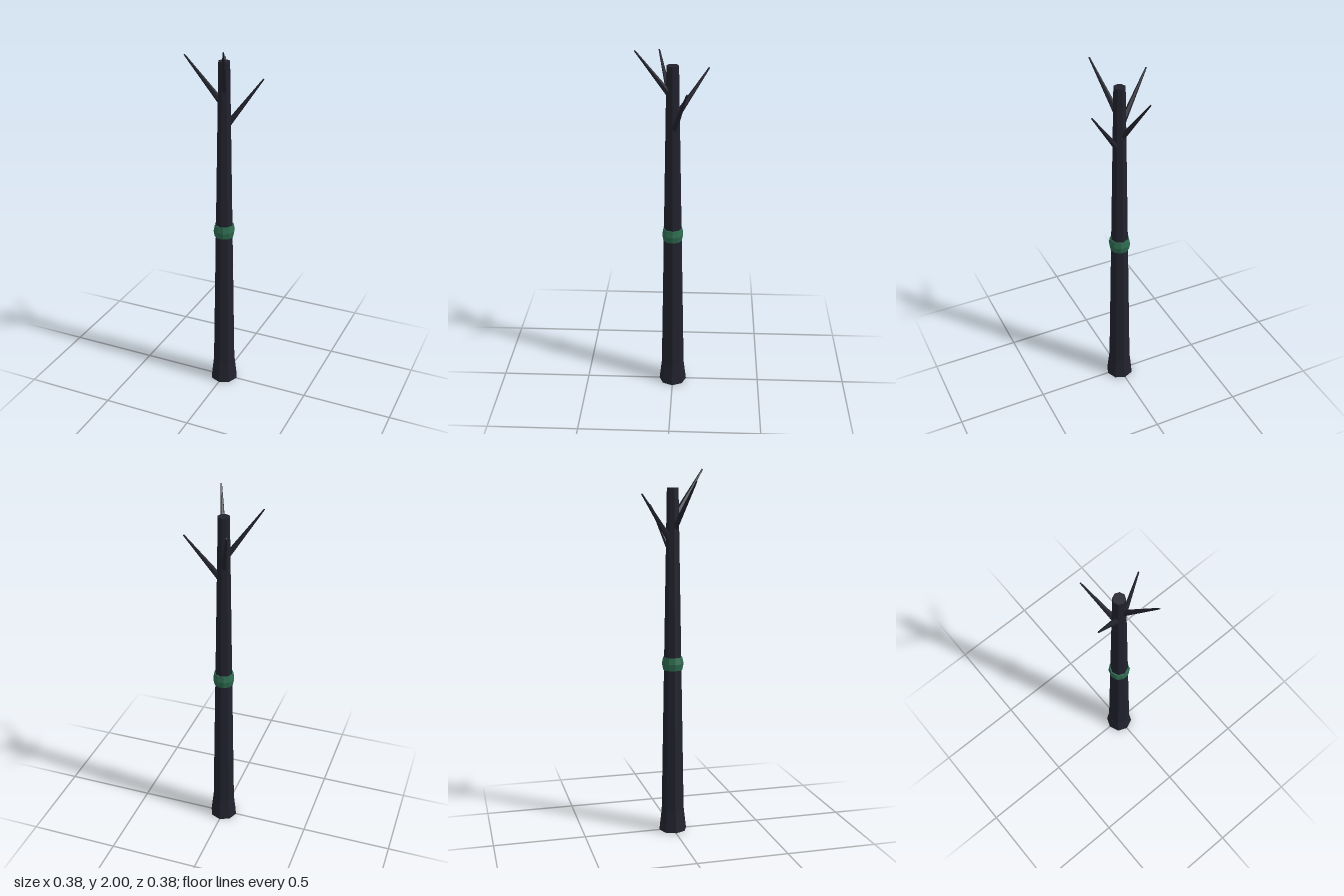
import * as THREE from 'three';

export function createModel() {
  const group = new THREE.Group();
  const bark = new THREE.MeshStandardMaterial({ color: 0x22222e, flatShading: true });
  bark.name = 'dark bark';
  const moss = new THREE.MeshStandardMaterial({ color: 0x2d6a4f, flatShading: true });
  moss.name = 'moss green';

  const add = (name, geometry, material) => {
    const mesh = new THREE.Mesh(geometry, material);
    mesh.name = name;
    group.add(mesh);
    return mesh;
  };

  // Tapered eight-sided trunk and the flared foot around it
  add('trunk', new THREE.CylinderGeometry(0.032, 0.066, 1.9, 8), bark).position.y = 0.95;
  add('rootFlare', new THREE.CylinderGeometry(0.064, 0.078, 0.12, 8), bark).position.y = 0.06;

  // Moss band: a ring stretched upright
  const ring = new THREE.TorusGeometry(0.046, 0.0135, 6, 10);
  ring.rotateX(Math.PI / 2).scale(1, 3, 1);
  add('mossBand', ring, moss).position.y = 0.955;

  // Four bare branches, spiralling up a quarter turn at a time
  const up = new THREE.Vector3(0, 1, 0);
  for (let i = 0; i < 4; i++) {
    const angle = 0.4 + i * Math.PI / 2;
    const at = (r, y) => new THREE.Vector3(Math.cos(angle) * r, y + i * 0.063, -Math.sin(angle) * r);
    const start = at(0.02, 1.565);
    const end = at(0.201, 1.807);
    const dir = end.clone().sub(start);
    const branch = add('branch' + (i + 1), new THREE.CylinderGeometry(0.004, 0.017, dir.length(), 6), bark);
    branch.position.copy(start).add(end).multiplyScalar(0.5);
    branch.quaternion.setFromUnitVectors(up, dir.normalize());
  }
  return group;
}
